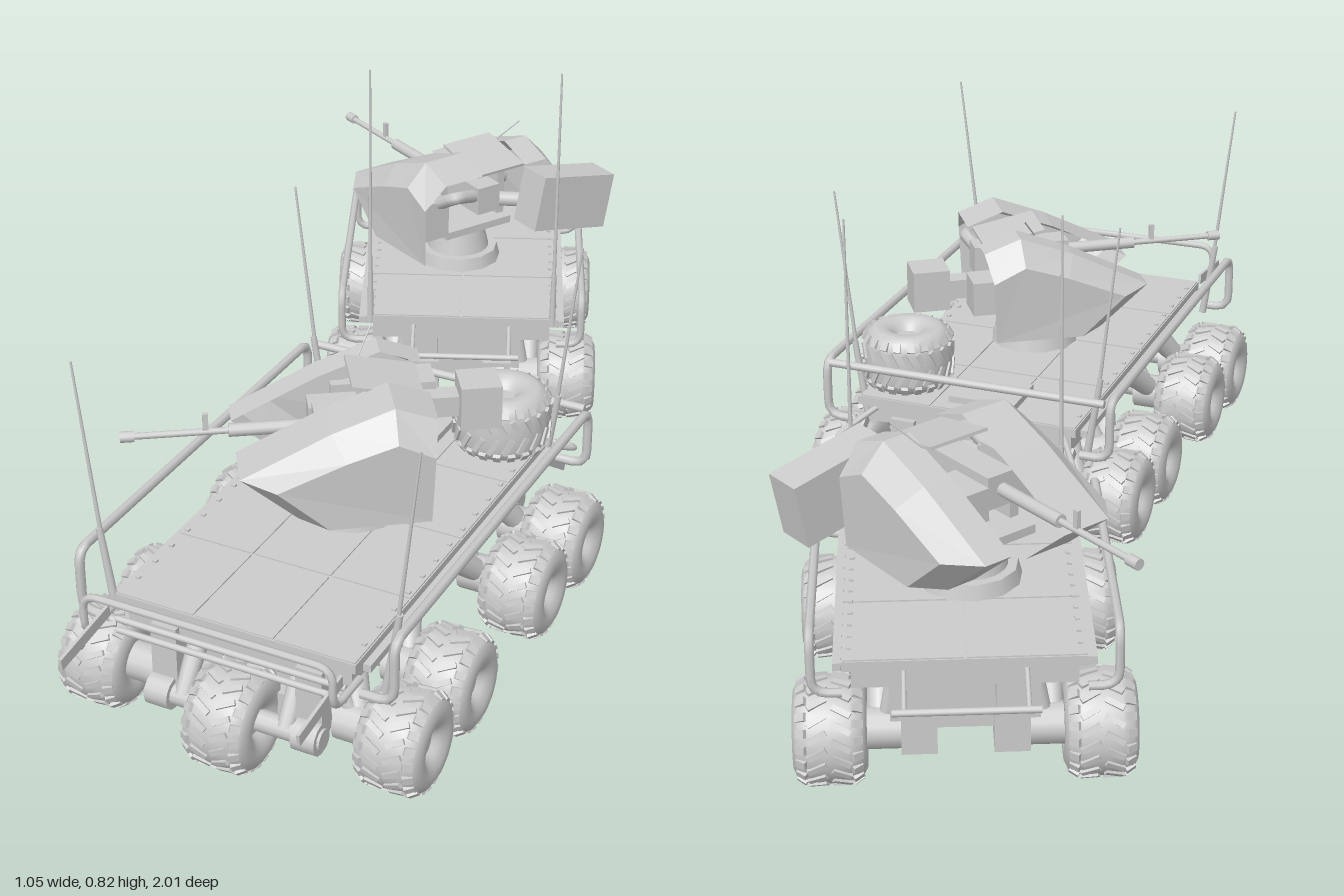
import * as THREE from 'three';
import { mergeGeometries } from 'three/addons/utils/BufferGeometryUtils.js';

const smooth = new THREE.MeshStandardMaterial({ color: 0xcccccc, side: THREE.DoubleSide });
const flat = new THREE.MeshStandardMaterial({ color: 0xcccccc, side: THREE.DoubleSide, flatShading: true });
const V = (x, y, z) => new THREE.Vector3(x, y, z);

function place(parent, name, obj, x, y, z) {
  obj.name = name;
  obj.position.set(x, y, z);
  parent.add(obj);
  return obj;
}
const group = (p, name, x, y, z) => place(p, name, new THREE.Group(), x, y, z);
const add = (p, name, geo, mat = flat, x = 0, y = 0, z = 0) => place(p, name, new THREE.Mesh(geo, mat), x, y, z);
const box = (p, name, w, h, d, x, y, z) => add(p, name, new THREE.BoxGeometry(w, h, d), flat, x, y, z);

// straight tapered rod between two points
function rod(p, name, a, b, r0, r1 = r0) {
  const m = add(p, name, new THREE.CylinderGeometry(r1, r0, a.distanceTo(b), 12), smooth);
  m.position.copy(a).lerp(b, 0.5);
  m.quaternion.setFromUnitVectors(V(0, 1, 0), b.clone().sub(a).normalize());
}

// bent pipe with rounded corners
function pipe(p, name, pts, r, bend = 0.03) {
  const path = new THREE.CurvePath();
  let from = pts[0];
  for (let i = 1; i < pts.length - 1; i++) {
    const c = pts[i];
    const [a, b] = [pts[i - 1], pts[i + 1]].map(q => c.clone().add(q.clone().sub(c).setLength(bend)));
    path.add(new THREE.LineCurve3(from, a));
    path.add(new THREE.QuadraticBezierCurve3(a, c, b));
    from = b;
  }
  path.add(new THREE.LineCurve3(from, pts[pts.length - 1]));
  add(p, name, new THREE.TubeGeometry(path, 70, r, 7), smooth);
}

// tyre, hub and tread geometry, axle along x
const profile = [[0.02, 0.036], [0.03, 0.05], [0.046, 0.061], [0.066, 0.061], [0.082, 0.052], [0.089, 0.032], [0.09, 0]];
const ring = [...profile, ...profile.slice(0, -1).reverse().map(([r, h]) => [r, -h])];
const tyreGeo = new THREE.LatheGeometry(ring.map(([r, h]) => new THREE.Vector2(r, h)), 32).rotateZ(Math.PI / 2);
const hubGeo = new THREE.CylinderGeometry(0.026, 0.026, 0.08, 20).rotateZ(Math.PI / 2);
const lugs = [];
for (let i = 0; i < 20; i++) for (const s of [-1, 1]) {
  const a = ((i + s * 0.25) / 20) * Math.PI * 2;
  lugs.push(new THREE.BoxGeometry(0.034, 0.008, 0.01).rotateY(s * 0.5).translate(s * 0.02, 0.0895, 0).rotateX(a));
  lugs.push(new THREE.BoxGeometry(0.018, 0.008, 0.014).rotateZ(-s * 0.6).translate(s * 0.046, 0.0845, 0).rotateX(a + 0.08));
}
const lugGeo = mergeGeometries(lugs);

function wheel(parent, name, x, y, z) {
  const g = group(parent, name, x, y, z);
  add(g, 'tyre', tyreGeo, smooth);
  add(g, 'hub', hubGeo, smooth);
  add(g, 'tread', lugGeo);
  return g;
}

// side wheel with axle, motor, sloped arm and shock absorber
function sideWheel(p, s, x, z, dir, inner) {
  wheel(p, 'sideWheel', s * x, 0.094, z);
  rod(p, 'axle', V(s * inner * 0.5, 0.1, z), V(s * x, 0.094, z), 0.018);
  rod(p, 'hubMotor', V(s * (x - 0.12), 0.094, z), V(s * (x - 0.04), 0.094, z), 0.036);
  rod(p, 'suspensionArm', V(s * (inner + 0.03), 0.2, z + dir * 0.11), V(s * (x - 0.08), 0.094, z), 0.028, 0.02);
  rod(p, 'shockAbsorber', V(s * inner, 0.23, z), V(s * (x - 0.09), 0.1, z), 0.013);
  box(p, 'gearHousing', 0.06, 0.075, 0.075, s * inner * 0.7, 0.1, z);
}

function sideRail(p, s, post, x, low, high, z, r) {
  pipe(p, 'sideRail', [V(s * post, low, -z), V(s * x, low, -z), V(s * x, high, -z),
    V(s * x, high, z), V(s * x, low, z), V(s * post, low, z)], r);
}

// one faceted armour wing: cross-sections from inner to outer edge
function armourWing(p, inner, s) {
  const full = [[0.11, 0.335], [0.21, 0.42], [0.05, 0.5], [-0.06, 0.542], [-0.135, 0.515]];
  const end = [[0.06, 0.335], [0.15, 0.415], [0.03, 0.465], [-0.06, 0.495], [-0.125, 0.465]];
  const cols = [[inner, full], [s * 0.13, full], [s * 0.176, end]].map(([x, sec]) => sec.map(([z, y]) => V(x, y, z)));
  const pos = [], low = V(s * 0.17, 0.335, -0.12);
  const tri = (...v) => v.forEach(q => pos.push(q.x, q.y, q.z));
  for (let r = 0; r < 4; r++) {
    for (let c = 0; c < 2; c++) {
      tri(cols[c][r], cols[c + 1][r], cols[c + 1][r + 1]);
      tri(cols[c][r], cols[c + 1][r + 1], cols[c][r + 1]);
    }
    tri(low, cols[2][r], cols[2][r + 1]);
  }
  const g = new THREE.BufferGeometry();
  g.setAttribute('position', new THREE.Float32BufferAttribute(pos, 3));
  g.computeVertexNormals();
  add(p, 'armourWing', g);
}

function turret(parent, x, z, angle, launcher) {
  const g = group(parent, 'turret', x, 0, z);
  g.rotation.y = angle;
  rod(g, 'turretRing', V(0, 0.268, 0), V(0, 0.296, 0), 0.092, 0.085);
  add(g, 'pedestal', new THREE.CylinderGeometry(0.052, 0.068, 0.07, 24), smooth, 0, 0.325, 0);
  box(g, 'turntable', 0.17, 0.016, 0.15, 0, 0.362, 0);
  for (const s of [-1, 1]) {
    box(g, 'yoke', 0.018, 0.12, 0.08, s * 0.075, 0.425, -0.01);
    rod(g, 'trunnion', V(s * 0.07, 0.45, -0.01), V(s * 0.1, 0.45, -0.01), 0.03);
    armourWing(g, s > 0 ? 0.035 : -0.075, s);
  }
  box(g, 'roofPlate', 0.12, 0.006, 0.13, -0.02, 0.523, -0.06).rotation.x = -0.2;
  // gun with muzzle, sight and feed
  box(g, 'receiver', 0.055, 0.06, 0.2, 0.015, 0.455, -0.03);
  rod(g, 'barrelSleeve', V(0.018, 0.456, 0.06), V(0.018, 0.456, 0.22), 0.012);
  rod(g, 'barrel', V(0.018, 0.456, 0.2), V(0.018, 0.456, 0.41), 0.006);
  rod(g, 'muzzle', V(0.018, 0.456, 0.385), V(0.018, 0.456, 0.41), 0.01);
  box(g, 'gunSight', 0.008, 0.035, 0.01, 0.018, 0.475, 0.26);
  box(g, 'ammunitionBox', 0.06, 0.085, 0.1, 0.12, 0.415, -0.04);
  box(g, 'opticsBox', 0.05, 0.06, 0.09, -0.04, 0.44, 0.03);
  pipe(g, 'feedChute', [V(0.11, 0.45, -0.08), V(0.1, 0.48, -0.13), V(0.03, 0.46, -0.11)], 0.014, 0.02);
  rod(g, 'whisker', V(-0.08, 0.53, -0.02), V(-0.12, 0.575, -0.05), 0.0015);
  if (launcher) {
    box(g, 'launcherBox', 0.19, 0.12, 0.075, -0.16, 0.43, -0.165).rotation.z = 0.2;
    rod(g, 'launcherArm', V(-0.05, 0.4, -0.02), V(-0.14, 0.42, -0.15), 0.016);
  } else {
    box(g, 'sensorArm', 0.04, 0.04, 0.18, -0.075, 0.43, -0.14);
    box(g, 'sensorHead', 0.075, 0.085, 0.075, -0.07, 0.435, -0.24);
    box(g, 'sideBox', 0.07, 0.07, 0.13, -0.125, 0.43, -0.1);
  }
}

// flat deck with frame, raised panels, runners and bolts
function deck(p, w, d, nx, nz) {
  box(p, 'deckSlab', w, 0.018, d, 0, 0.258, 0);
  box(p, 'deckFrame', w - 0.03, 0.04, d - 0.03, 0, 0.23, 0);
  for (let i = 0; i < nx; i++) for (let j = 0; j < nz; j++) {
    box(p, 'deckPanel', w / nx - 0.005, 0.003, d / nz - 0.005, (i + 0.5) * w / nx - w / 2, 0.268, (j + 0.5) * d / nz - d / 2);
  }
  for (const s of [-1, 1]) {
    box(p, 'sideRunner', 0.014, 0.014, d * 0.94, s * (w / 2 + 0.008), 0.248, 0);
    for (let j = 0; j < 14; j++) box(p, 'bolt', 0.008, 0.004, 0.008, s * (w / 2 - 0.012), 0.271, (j - 6.5) * d / 15);
  }
}

function largeCarrier(root) {
  const g = group(root, 'largeCarrier', 0.156, 0, 0.395);
  g.rotation.y = 0.05;
  deck(g, 0.46, 0.83, 3, 4);
  box(g, 'hull', 0.22, 0.09, 0.7, 0, 0.175, 0);
  box(g, 'bellyBox', 0.15, 0.05, 0.26, 0, 0.11, 0);
  for (const s of [-1, 1]) {
    [-0.338, -0.155, 0.165, 0.348].forEach((z, i) =>
      sideWheel(g, s, 0.286, z + (s < 0 ? 0.012 : 0), [0.6, 1, -1, -0.6][i], 0.12));
    sideRail(g, s, 0.24, 0.3, 0.215, 0.335, 0.415, 0.009);
    box(g, 'sideLocker', 0.05, 0.08, 0.15, s * 0.15, 0.19, 0.005);
    // end arms holding the centre wheels, aerials and thin mud flaps
    for (const e of [-1, 1]) {
      rod(g, 'centreWheelArm', V(s * 0.1, 0.21, e * 0.34), V(s * 0.1, 0.1, e * 0.42), 0.02, 0.016);
      rod(g, 'centreWheelAxle', V(0, 0.094, e * 0.415), V(s * 0.17, 0.094, e * 0.415), 0.02);
      rod(g, 'endMotor', V(s * 0.12, 0.094, e * 0.415), V(s * 0.165, 0.094, e * 0.415), 0.03);
      box(g, 'endBracket', 0.05, 0.13, 0.035, s * 0.14, 0.16, e * 0.395);
      const lean = e > 0 ? 0.01 : s * -0.025 - 0.01;
      rod(g, 'aerialBase', V(s * 0.26 + lean, 0.21, e * 0.385), V(s * 0.285 + lean, 0.37, e * 0.385), 0.008, 0.006);
      rod(g, 'aerial', V(s * 0.28 + lean, 0.34, e * 0.385), V(s * 0.32 + lean, 0.685, e * 0.385), 0.004, 0.002);
    }
    box(g, 'frontFlap', 0.006, 0.022, 0.15, s * 0.222, 0.25, 0.525).rotation.x = 0.12;
    box(g, 'rearFlap', 0.006, 0.02, 0.12, s * 0.222, 0.18, -0.45).rotation.x = -0.6;
  }
  wheel(g, 'frontCentreWheel', 0.005, 0.1, 0.43);
  wheel(g, 'rearCentreWheel', 0, 0.1, -0.385);
  pipe(g, 'frontBar', [V(-0.235, 0.24, 0.41), V(-0.235, 0.24, 0.505), V(-0.235, 0.32, 0.505),
    V(0.235, 0.32, 0.505), V(0.235, 0.24, 0.505), V(0.235, 0.24, 0.41)], 0.007);
  pipe(g, 'rearBar', [V(-0.2, 0.24, -0.4), V(-0.26, 0.2, -0.49), V(0.26, 0.2, -0.49), V(0.2, 0.24, -0.4)], 0.006);
  rod(g, 'rearCrossRail', V(-0.29, 0.333, -0.42), V(0.29, 0.333, -0.42), 0.008);
  for (const y of [0.205, 0.228]) rod(g, 'frontGuardBar', V(-0.22, y, 0.43), V(0.22, y, 0.43), 0.006);
  // spare wheel lying on its stand
  wheel(g, 'spareWheel', 0.16, 0.335, -0.328).rotation.z = Math.PI / 2;
  box(g, 'spareStand', 0.07, 0.04, 0.07, 0.16, 0.285, -0.328);
  box(g, 'rearLocker', 0.14, 0.014, 0.11, -0.02, 0.276, -0.33);
}

function smallCarrier(root) {
  const g = group(root, 'smallCarrier', -0.132, 0, -0.617);
  g.rotation.y = 0.46;
  deck(g, 0.4, 0.57, 2, 3);
  box(g, 'hull', 0.25, 0.12, 0.46, 0, 0.165, 0);
  box(g, 'belly', 0.18, 0.04, 0.34, 0, 0.1, 0);
  for (const s of [-1, 1]) {
    for (const e of [-1, 1]) {
      sideWheel(g, s, 0.224, e * 0.206, -e, 0.11);
      box(g, 'endLocker', 0.06, 0.07, 0.04, s * 0.08, 0.19, e * 0.245);
      rod(g, 'endBarStrut', V(s * 0.1, 0.24, e * 0.27), V(s * 0.1, 0.21, e * 0.35), 0.004);
    }
    sideRail(g, s, 0.2, 0.25, 0.205, 0.31, 0.275, 0.008);
    rod(g, 'aerialBase', V(s * 0.19, 0.25, 0.28), V(s * 0.19, 0.37, 0.28), 0.007, 0.005);
    rod(g, 'aerial', V(s * 0.19, 0.36, 0.28), V(s * 0.19, 0.815, 0.28), 0.004, 0.002);
    rod(g, 'endBar', V(-0.12, 0.21, s * 0.35), V(0.12, 0.21, s * 0.35), 0.006);
  }
}

export function createModel() {
  const root = new THREE.Group();
  root.name = 'patrolCarriers';
  largeCarrier(root);
  smallCarrier(root);
  turret(root, 0.162, 0.385, -0.927, false);
  turret(root, -0.15, -0.622, -2.043, true);
  return root;
}
